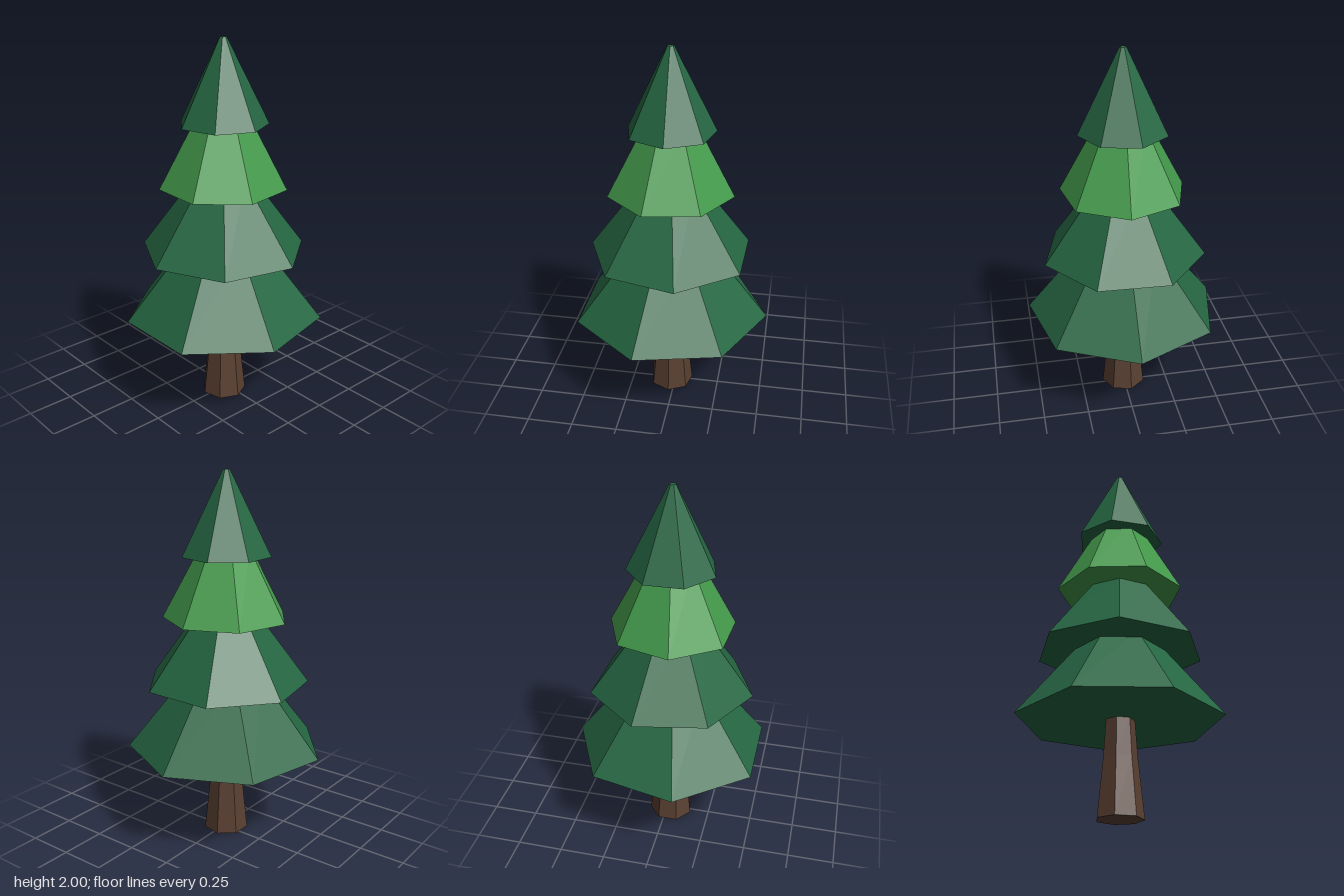
import * as THREE from 'three';

const SIDES = 7;

// Seven-sided tapered solid standing on y, turned by theta around the tree axis
function frustum(name, material, rBottom, rTop, y, height, theta, openTop = false) {
  const geometry = new THREE.CylinderGeometry(rTop, rBottom, height, SIDES, 1, false, theta);
  const mesh = new THREE.Mesh(geometry, material);
  mesh.name = name;
  mesh.position.y = y + height / 2;
  return mesh;
}

export function createModel() {
  const make = (name, color) => {
    const material = new THREE.MeshStandardMaterial({ color, flatShading: true });
    material.name = name;
    return material;
  };
  const bark = make('bark brown', 0x5a4032);
  const darkGreen = make('dark green', 0x266743);
  const lightGreen = make('light green', 0x449b4c);

  const tree = new THREE.Group();
  tree.name = 'pineTree';

  // Trunk: flared foot and a slimmer upper length
  const trunkTurn = -0.22;
  const trunk = new THREE.Group();
  trunk.name = 'trunk';
  trunk.add(
    frustum('trunkFoot', bark, 0.123, 0.092, 0, 0.3, trunkTurn),
    frustum('trunkUpper', bark, 0.092, 0.077, 0.3, 0.22, trunkTurn)
  );
  tree.add(trunk);

  // Foliage tiers, each turned differently and tucked into the one above
  const tiers = [
    ['bottomTier', darkGreen, 0.539, 0.203, 0.5, 0.423, Math.PI],
    ['lowerTier', darkGreen, 0.447, 0.146, 0.873, 0.407, -0.03],
    ['upperTier', lightGreen, 0.34, 0.135, 1.23, 0.38, 3.083],
    ['topTier', darkGreen, 0.238, 0.018, 1.56, 0.44, 1.582],
  ];
  for (const tier of tiers) tree.add(frustum(...tier));

  // The odd-sided skirt sits slightly forward so its bounds are centred
  for (const part of tree.children) part.position.z = 0.025;
  return tree;
}
